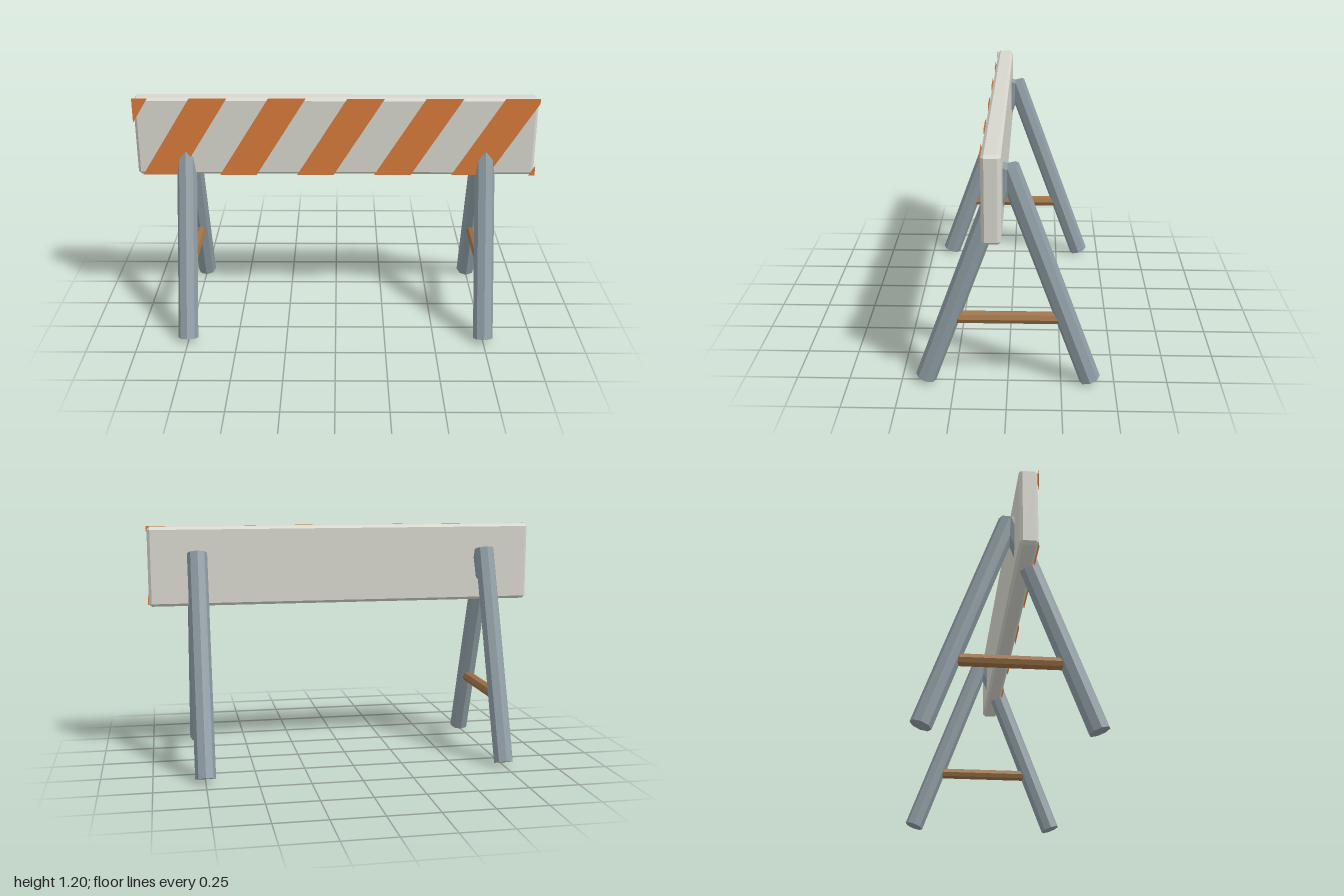
import * as THREE from 'three';
import { ConvexGeometry } from 'three/addons/geometries/ConvexGeometry.js';

const mat = (name, color) => {
  const m = new THREE.MeshStandardMaterial({ color });
  m.name = name;
  return m;
};

// Octagonal bar with flat faces, along y
function octagonBar(radius, length) {
  const g = new THREE.CylinderGeometry(radius, radius, length, 8).toNonIndexed();
  g.computeVertexNormals();
  return g;
}

// Box with every edge chamfered
function chamferBox(w, h, d, c) {
  const pts = [];
  for (const sx of [-1, 1]) for (const sy of [-1, 1]) for (const sz of [-1, 1]) {
    const x = w / 2, y = h / 2, z = d / 2;
    pts.push(
      new THREE.Vector3(sx * x, sy * (y - c), sz * (z - c)),
      new THREE.Vector3(sx * (x - c), sy * y, sz * (z - c)),
      new THREE.Vector3(sx * (x - c), sy * (y - c), sz * z));
  }
  return new ConvexGeometry(pts);
}

// Trims a polygon to the side of x = limit that holds the board
function clipX(points, limit, sign) {
  const out = [];
  points.forEach((a, i) => {
    const b = points[(i + 1) % points.length];
    const inA = sign * (limit - a.x) >= 0, inB = sign * (limit - b.x) >= 0;
    if (inA) out.push(a);
    if (inA !== inB) out.push(a.clone().lerp(b, (limit - a.x) / (b.x - a.x)));
  });
  return out;
}

export function createModel() {
  const group = new THREE.Group();
  group.name = 'barricade';

  const boardMat = mat('offWhite', 0xd6d6cd);
  const stripeMat = mat('orange', 0xd87a3a);
  stripeMat.side = THREE.DoubleSide;
  const legMat = mat('greySteel', 0x8f9da4);
  const woodMat = mat('brownWood', 0x9e7348);

  const add = (name, geometry, material, x, y, z, rx = 0) => {
    const mesh = new THREE.Mesh(geometry, material);
    mesh.name = name;
    mesh.position.set(x, y, z);
    mesh.rotation.x = rx;
    group.add(mesh);
  };

  // Board
  add('board', chamferBox(1.99, 0.4, 0.085, 0.014), boardMat, 0, 1, 0.0625);

  // Slanted stripes, trimmed at the board ends
  for (let k = -1; k <= 5; k++) {
    const top = -0.719 + 0.3875 * k, bottom = top - 0.251, w = 0.184;
    let pts = [[bottom, 0.8], [bottom + w, 0.8], [top + w, 1.2], [top, 1.2]]
      .map(([x, y]) => new THREE.Vector2(x, y));
    pts = clipX(clipX(pts, 1, 1), -1, -1);
    add('stripe', new THREE.ShapeGeometry(new THREE.Shape(pts)), stripeMat, 0, 0, 0.109);
  }

  // Two A-frames: a pair of leaning legs and a rung each
  const lean = THREE.MathUtils.degToRad(20), legLength = 1.12;
  const legGeo = octagonBar(0.05, legLength);
  const rungGeo = octagonBar(0.03, 0.52);
  const midY = 0.0175 + legLength / 2 * Math.cos(lean);
  const midZ = legLength / 2 * Math.sin(lean) + 0.003;
  for (const x of [-0.75, 0.75]) {
    const side = x < 0 ? 'right' : 'left';
    add(side + 'FrontLeg', legGeo, legMat, x, midY, midZ, -lean);
    add(side + 'BackLeg', legGeo, legMat, x, midY, -midZ, lean);
    add(side + 'Rung', rungGeo, woodMat, x, 0.335, 0, Math.PI / 2);
  }
  return group;
}
